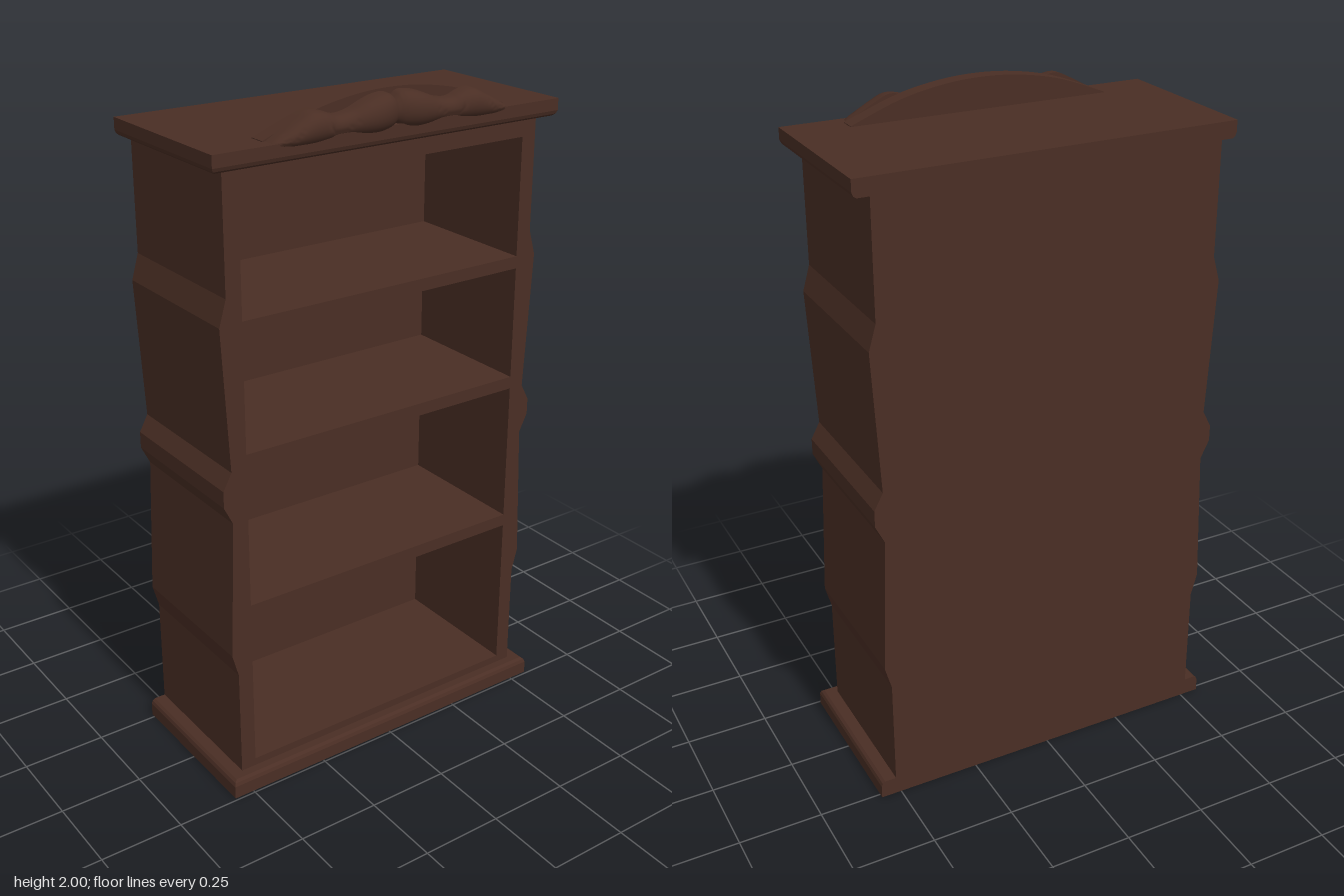
import * as THREE from 'three';
import { toCreasedNormals } from 'three/addons/utils/BufferGeometryUtils.js';

const wood = new THREE.MeshStandardMaterial({ color: 0x4a2e24 });
wood.name = 'dark walnut';

function addPart(group, name, geometry) {
  const mesh = new THREE.Mesh(geometry, wood);
  mesh.name = name;
  group.add(mesh);
  return mesh;
}

// Right half of the carcass outline, with carved swellings down the side
const SIDE = [
  [0.515, 0.05], [0.515, 0.39], [0.534, 0.46], [0.516, 0.88], [0.543, 0.935],
  [0.543, 0.985], [0.516, 1.035], [0.537, 1.45], [0.515, 1.525], [0.515, 1.865],
];

function carcassShape() {
  const left = SIDE.map(([x, y]) => [-x, y]).reverse();
  return new THREE.Shape([...SIDE, ...left].map(([x, y]) => new THREE.Vector2(x, y)));
}

function extrude(shape, zBack, zFront) {
  const g = new THREE.ExtrudeGeometry(shape, { depth: zFront - zBack, bevelEnabled: false });
  return g.translate(0, 0, zBack);
}

// Slab with a moulded edge on the front and sides, flush at the back.
// rows: [y, inset] from top to bottom
function moulding(rows) {
  const halfW = 0.562, back = -0.265, front = 0.242;
  const n = rows.length - 1;
  const g = new THREE.BoxGeometry(2, n, 2, 1, n, 1);
  const p = g.attributes.position;
  for (let i = 0; i < p.count; i++) {
    const [y, inset] = rows[Math.round(n / 2 - p.getY(i))];
    p.setXYZ(i, Math.sign(p.getX(i)) * (halfW - inset), y, p.getZ(i) > 0 ? front - inset : back);
  }
  const flat = g.toNonIndexed();
  flat.computeVertexNormals();
  return flat;
}

// Leaf stations from the centre outward: x, bottom, top, front z
const LEAF = [
  [0, 1.908, 1.978, 0.246], [0.02, 1.897, 1.992, 0.256], [0.06, 1.892, 1.99, 0.264],
  [0.1, 1.893, 1.978, 0.26], [0.14, 1.897, 1.962, 0.25], [0.185, 1.897, 1.956, 0.247],
  [0.22, 1.893, 1.968, 0.254], [0.26, 1.89, 1.973, 0.259], [0.3, 1.89, 1.956, 0.256],
  [0.34, 1.891, 1.935, 0.249], [0.375, 1.896, 1.915, 0.238], [0.388, 1.902, 1.908, 0.215],
];

// Swelling leaf lofted from rounded sections; side is +1 or -1
function leafGeometry(side) {
  const arc = 12, zBack = 0.198, pos = [], idx = [];
  const curve = new THREE.CatmullRomCurve3(LEAF.map(([x, b, t]) => new THREE.Vector3(x, b, t)));
  const depth = new THREE.CatmullRomCurve3(LEAF.map(([x, , , z]) => new THREE.Vector3(x, z, 0)));
  const steps = 44;
  for (let i = 0; i <= steps; i++) {
    const s = curve.getPoint(i / steps), d = depth.getPoint(i / steps).y;
    const mid = (s.y + s.z) / 2, half = (s.z - s.y) / 2;
    for (let j = 0; j <= arc; j++) {
      const a = -Math.PI / 2 + (Math.PI * j) / arc;
      const c = Math.pow(Math.max(Math.cos(a), 0), 0.6);
      // underside overhangs the cornice only where it stands clear of it
      pos.push(side * s.x, mid + half * Math.sin(a), zBack + (d - zBack) * c);
    }
  }
  const row = arc + 1;
  const tri = (a, b, c) => (side > 0 ? idx.push(a, b, c) : idx.push(a, c, b));
  for (let i = 0; i < steps; i++) {
    for (let j = 0; j < row; j++) {
      const k = (j + 1) % row; // last strip closes the back
      const a = i * row + j, b = i * row + k;
      tri(a, a + row, b + row);
      tri(a, b + row, b);
    }
  }
  for (let j = 1; j < arc; j++) { // outer end cap
    const e = steps * row;
    tri(e, e + j + 1, e + j);
  }
  const g = new THREE.BufferGeometry();
  g.setAttribute('position', new THREE.Float32BufferAttribute(pos, 3));
  g.setIndex(idx);
  return toCreasedNormals(g, 0.9);
}

export function createModel() {
  const model = new THREE.Group();
  model.name = 'bookcase';

  // Carcass: sides, rails and shelves in one extrusion with four openings
  const frame = carcassShape();
  for (const [y0, y1] of [[0.08, 0.567], [0.605, 1.037], [1.075, 1.418], [1.455, 1.806]]) {
    frame.holes.push(new THREE.Path([[-0.468, y0], [-0.468, y1], [0.468, y1], [0.468, y0]]
      .map(([x, y]) => new THREE.Vector2(x, y))));
  }
  addPart(model, 'sidesAndShelves', extrude(frame, -0.23, 0.205));
  addPart(model, 'backPanel', extrude(carcassShape(), -0.265, -0.23));

  // Plinth and cornice
  addPart(model, 'plinth', moulding([[0.056, 0.012], [0.05, 0.004], [0.04, 0], [0, 0]]));
  addPart(model, 'cornice', moulding([[1.91, 0], [1.876, 0], [1.866, 0.004], [1.86, 0.012]]));

  // Carved crest
  const crest = new THREE.Group();
  crest.name = 'crest';
  const arch = new THREE.Shape();
  arch.moveTo(-0.392, 1.905);
  arch.lineTo(0.392, 1.905);
  arch.lineTo(0.392, 1.912);
  arch.splineThru([[0.25, 1.965], [0.12, 1.992], [0, 2], [-0.12, 1.992], [-0.25, 1.965], [-0.392, 1.912]]
    .map(([x, y]) => new THREE.Vector2(x, y)));
  const board = new THREE.ExtrudeGeometry(arch, { depth: 0.048, bevelEnabled: false, curveSegments: 6 });
  addPart(crest, 'crestBoard', toCreasedNormals(board.translate(0, 0, 0.152), 0.6));
  addPart(crest, 'leftLeaf', leafGeometry(1));
  addPart(crest, 'rightLeaf', leafGeometry(-1));
  model.add(crest);

  return model;
}
